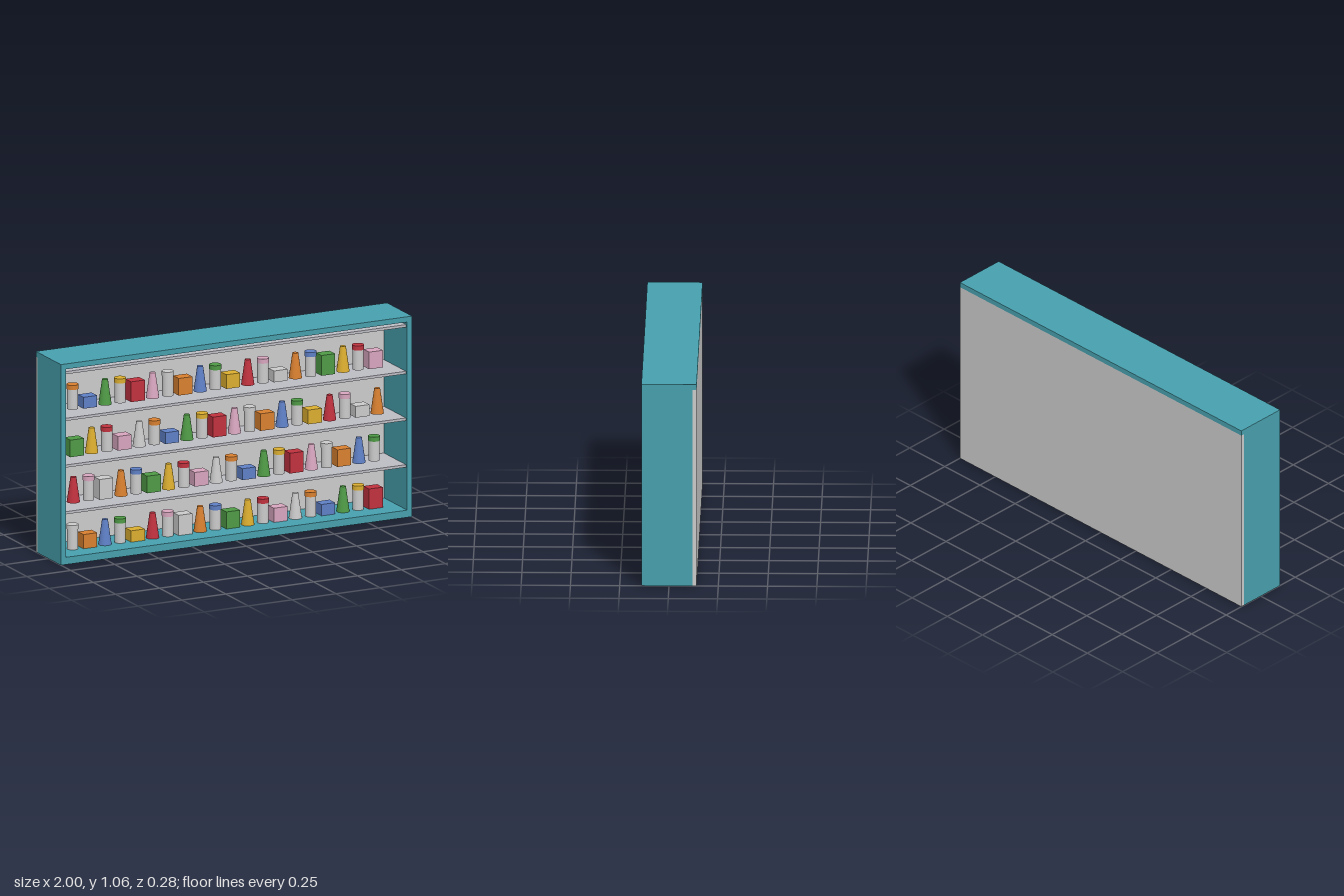
import * as THREE from 'three';

const mat = (color) => new THREE.MeshStandardMaterial({ color });

export function createModel() {
  const model = new THREE.Group();
  model.name = 'shelfUnit';
  const teal = mat(0x479fad), panel = mat(0xd4d4d0), metal = mat(0xbcbcc4), white = mat(0xdcdcd8);
  // cycle: orange, blue, green, yellow, red, pink, white
  const colors = [0xd88030, 0x5f80c6, 0x4f9a46, 0xdcae30, 0xc0323f, 0xd8a6bf, 0xdcdcd8].map(mat);

  const add = (parent, name, geometry, material, x, y, z) => {
    const mesh = new THREE.Mesh(geometry, material);
    mesh.name = name;
    mesh.position.set(x, y, z);
    parent.add(mesh);
    return mesh;
  };
  // box given by its minimum and maximum corners
  const block = (name, material, [x0, y0, z0], [x1, y1, z1]) =>
    add(model, name, new THREE.BoxGeometry(x1 - x0, y1 - y0, z1 - z0), material,
      (x0 + x1) / 2, (y0 + y1) / 2, (z0 + z1) / 2);

  // Cabinet
  const H = 1.057, T = 0.028, F = 0.14, B = -0.12;
  block('backPanel', panel, [-1, 0, -F], [1, H - T, B]);
  block('topPanel', teal, [-1, H - T, -F], [1, H, F]);
  block('bottomPanel', teal, [-1 + T, 0, B], [1 - T, 0.038, F]);
  block('rightPanel', teal, [-1, 0, B], [-1 + T, H - T, F]);
  block('leftPanel', teal, [1 - T, 0, B], [1, H - T, F]);

  // Shelves, the highest one just below the top panel
  const pitch = 0.246;
  for (let i = 0; i < 4; i++) {
    const y = 0.267 + i * pitch;
    block('shelf', metal, [-1 + T, y - 0.007, B], [1 - T, y + 0.007, 0.125]);
  }

  // Goods: can, carton and tapered bottle in turn
  const bodyGeo = new THREE.CylinderGeometry(0.029, 0.029, 0.106, 20);
  const capGeo = new THREE.CylinderGeometry(0.031, 0.031, 0.024, 20);
  const coneGeo = new THREE.CylinderGeometry(0.015, 0.034, 0.132, 20);
  const heights = [0.107, 0.06, 0.075, 0.09];
  const halfWidth = [0.029, 0.039, 0.034];
  const advance = [0.086, 0.099, 0.086];
  for (let row = 0; row < 4; row++) {          // counted from the top
    const goods = new THREE.Group();
    goods.name = 'goodsRow';
    goods.position.set(0, 0.039 + (3 - row) * pitch, 0.01);
    model.add(goods);
    let x = -0.897 + halfWidth[row % 3];
    for (let i = 0; i < 20; i++) {
      const kind = (i + row) % 3;
      const color = colors[(i + 2 * row) % 7];
      if (kind === 0) {
        add(goods, 'canBody', bodyGeo, white, x, 0.053, 0);
        add(goods, 'canCap', capGeo, color, x, 0.117, 0);
      } else if (kind === 1) {
        const h = heights[(i - row + 4) % 4];
        add(goods, 'carton', new THREE.BoxGeometry(0.078, h, 0.063), color, x, h / 2, 0);
      } else {
        add(goods, 'bottle', coneGeo, color, x, 0.066, 0);
      }
      x += advance[kind];
    }
  }
  return model;
}
